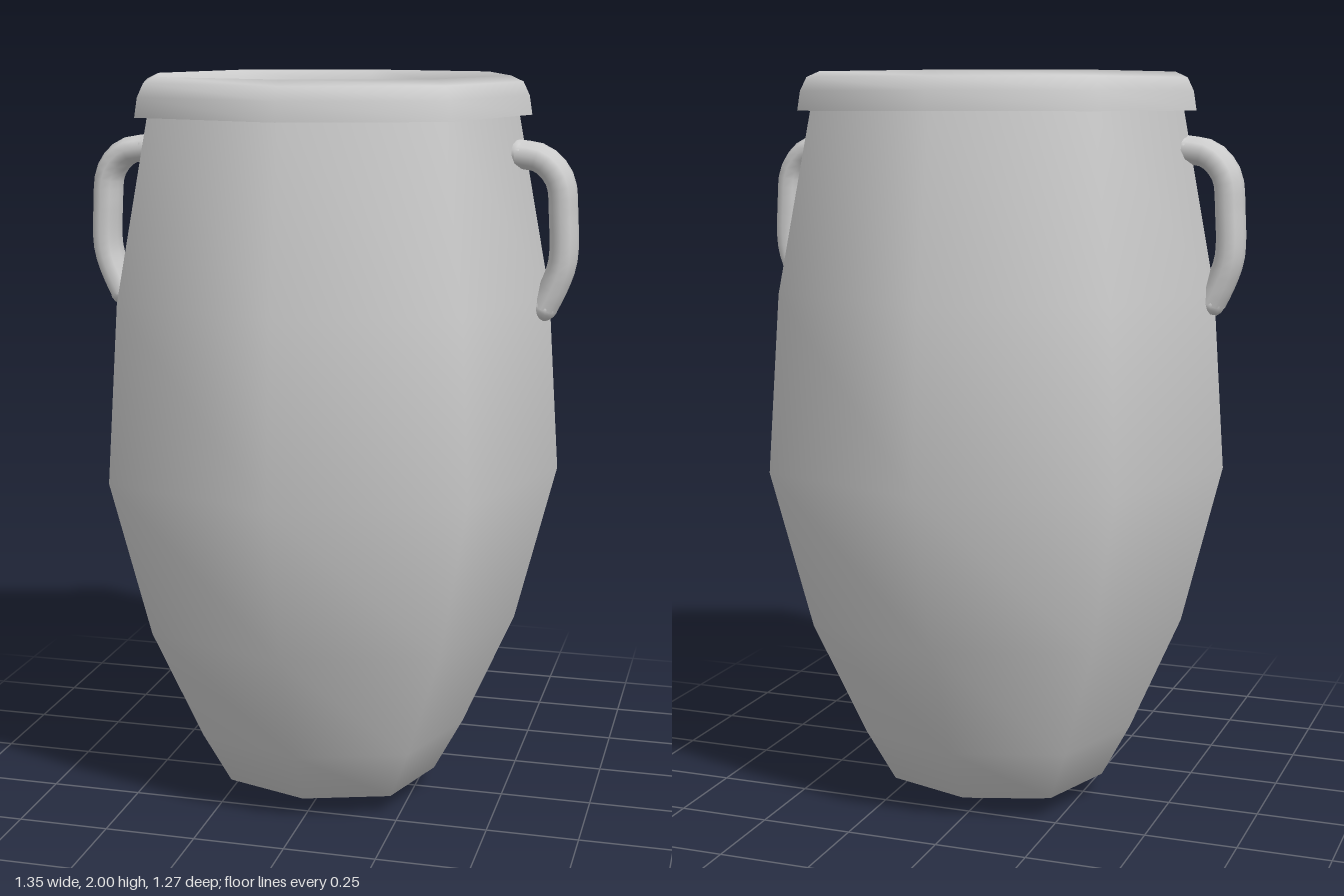
import * as THREE from 'three';
import { mergeVertices } from 'three/addons/utils/BufferGeometryUtils.js';

const material = new THREE.MeshStandardMaterial({ color: 0xcccccc, side: THREE.DoubleSide });

// Eight-sided turned shape whose diagonal corners stand slightly further out
function turned(name, profile) {
  let geo = new THREE.LatheGeometry(profile.map(([r, y]) => new THREE.Vector2(r, y)), 8);
  const p = geo.attributes.position;
  for (let i = 0; i < p.count; i++) {
    const x = p.getX(i), z = p.getZ(i);
    const s = Math.abs(x * z) > 1e-6 ? 1.06 : 1;
    p.setXYZ(i, x * s, p.getY(i), z * s);
  }
  // Weld the seam so the shading stays smooth all round
  geo.deleteAttribute('uv');
  geo.deleteAttribute('normal');
  geo = mergeVertices(geo, 1e-4);
  geo.computeVertexNormals();
  const mesh = new THREE.Mesh(geo, material);
  mesh.name = name;
  return mesh;
}

// Curved ear handle with rounded ends and a section wider in z than in thickness
function handle(name, side) {
  const group = new THREE.Group();
  group.name = name;
  const points = [[0.51, 1.8], [0.575, 1.787], [0.622, 1.735], [0.634, 1.64], [0.635, 1.52], [0.61, 1.445], [0.588, 1.4]]
    .map(([x, y]) => new THREE.Vector3(x * side, y, 0));
  const radius = 0.038;
  const grip = new THREE.Mesh(
    new THREE.TubeGeometry(new THREE.CatmullRomCurve3(points), 18, radius, 10), material);
  grip.name = 'grip';
  group.add(grip);
  for (const end of [points[0], points[points.length - 1]]) {
    const cap = new THREE.Mesh(new THREE.SphereGeometry(radius, 10, 8), material);
    cap.name = 'gripEnd';
    cap.position.copy(end);
    group.add(cap);
  }
  group.scale.z = 1.68;
  group.position.z = 0.018;
  return group;
}

export function createModel() {
  const model = new THREE.Group();
  model.name = 'jar';

  // Body from the shallow base up to the neck
  model.add(turned('body', [
    [0, 0], [0.2, 0.02], [0.305, 0.06], [0.385, 0.21], [0.525, 0.53],
    [0.633, 0.96], [0.6, 1.43], [0.51, 1.9],
  ]));

  // Underside of the rim, kept apart so its lower edge stays sharp
  model.add(turned('rimUnderside', [[0.5, 1.9], [0.543, 1.9]]));

  // Rim rolling over into the narrowing inner wall
  model.add(turned('rimAndInnerWall', [
    [0.543, 1.9], [0.535, 1.95], [0.518, 1.985], [0.485, 2], [0.45, 1.95], [0.36, 1.6], [0.275, 1.2],
  ]));

  model.add(handle('leftHandle', 1), handle('rightHandle', -1));
  return model;
}
